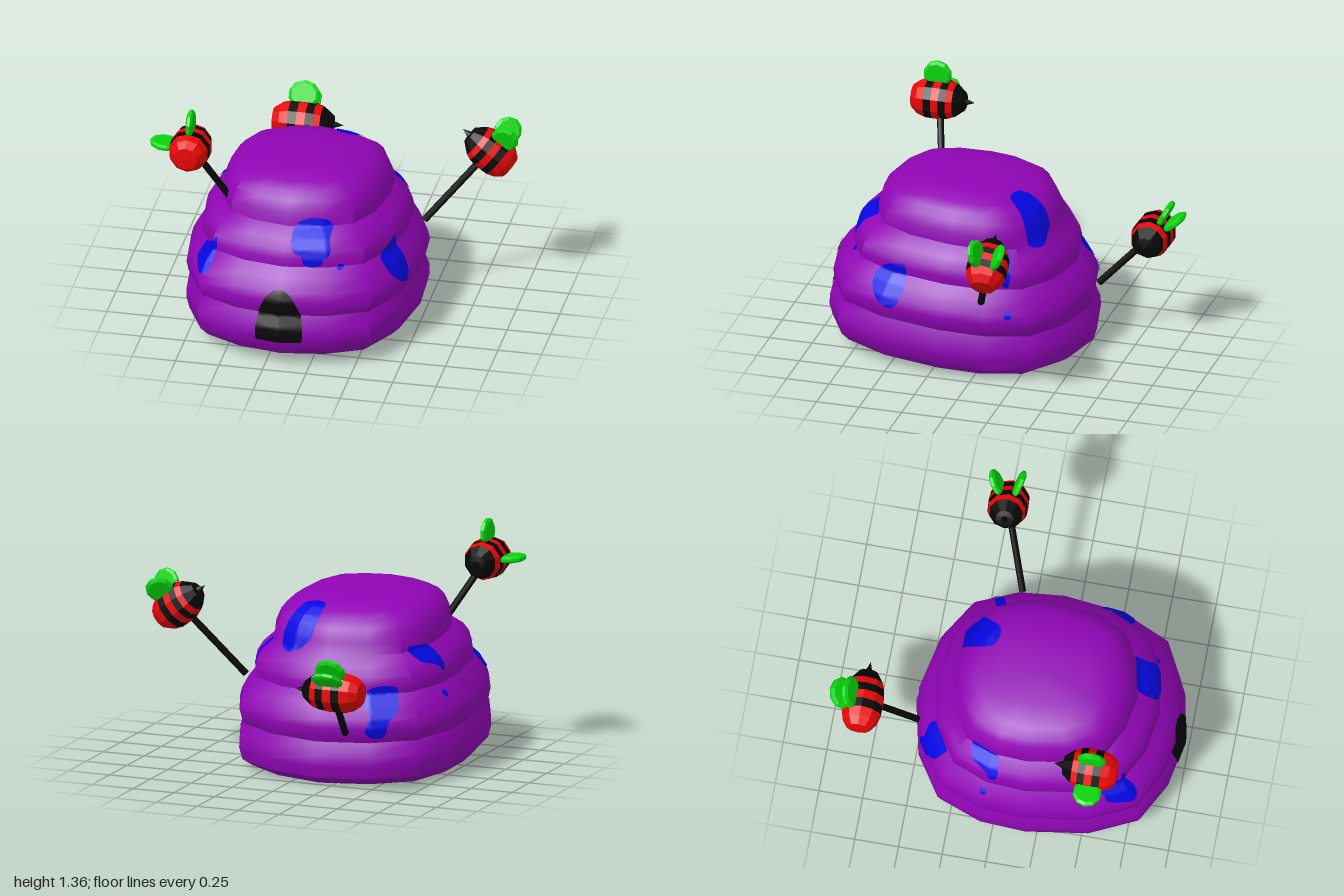
import * as THREE from 'three';
import { toCreasedNormals } from 'three/addons/utils/BufferGeometryUtils.js';

const mat = (name, color, extra = {}) => {
  const m = new THREE.MeshStandardMaterial({ color, ...extra });
  m.name = name;
  return m;
};
const V = (x, y, z) => new THREE.Vector3(x, y, z);

// Half outline of the hive in plan, back to front, on a unit scale
const HALF = [[0, -1], [0.47, -0.91], [0.82, -0.715], [0.97, -0.39], [1, -0.04],
  [0.93, 0.43], [0.745, 0.78], [0.41, 0.935], [0, 1]];

// Hive sections: height, half width, half depth, centre z (shallow hollow first, then the outer tiers)
const RINGS = [
  [0.21, 0.001, 0.001, 0.22], [0.18, 0.24, 0.28, 0.22], [0.115, 0.4, 0.46, 0.22], [0.035, 0.46, 0.53, 0.22],
  [0.042, 0.6, 0.69, 0.235], [0.09, 0.65, 0.75, 0.22], [0.16, 0.667, 0.77, 0.22], [0.22, 0.665, 0.765, 0.22],
  [0.295, 0.64, 0.73, 0.22], [0.325, 0.656, 0.742, 0.218], [0.38, 0.669, 0.75, 0.215], [0.43, 0.657, 0.735, 0.21],
  [0.5, 0.62, 0.692, 0.208], [0.555, 0.578, 0.64, 0.205], [0.6, 0.583, 0.64, 0.202], [0.65, 0.572, 0.625, 0.2],
  [0.7, 0.54, 0.59, 0.197], [0.755, 0.473, 0.53, 0.185], [0.82, 0.469, 0.515, 0.185], [0.89, 0.442, 0.482, 0.185],
  [0.93, 0.41, 0.442, 0.185], [0.967, 0.355, 0.38, 0.185], [0.995, 0.22, 0.25, 0.185], [1.012, 0.001, 0.001, 0.185],
];

function hiveGeometry() {
  const plan = [...HALF, ...HALF.slice(1, -1).reverse().map(([x, z]) => [-x, z])];
  const n = plan.length, pos = [], index = [];
  RINGS.forEach(([y, rx, rz, zc], j) => plan.forEach(([px, pz], i) => {
    const z = zc + pz * rz;
    pos.push(-0.162 + px * rx, y + 0.055 * (z - 0.22), z); // the hive leans back a little
    if (j === RINGS.length - 1) return;
    const a = j * n + i, b = j * n + (i + 1) % n;
    index.push(a, a + n, b, b, a + n, b + n);
  }));
  const g = new THREE.BufferGeometry();
  g.setAttribute('position', new THREE.Float32BufferAttribute(pos, 3));
  g.setIndex(index);
  return toCreasedNormals(g, THREE.MathUtils.degToRad(36));
}

// Thin patch laid on the hive: the outline is projected along dir
function patch(hive, name, material, dir, right, up, outline) {
  const SIDES = 48, STEPS = 12;
  const pts = THREE.ShapeUtils.area(outline.map(([x, y]) => ({ x, y }))) < 0 ? [...outline].reverse() : outline;
  const edge = new THREE.CatmullRomCurve3(pts.map(([x, y]) => V(x, y, 0)), true, 'catmullrom', 0.4).getSpacedPoints(SIDES);
  const mid = V(0, 0, 0);
  for (let i = 0; i < SIDES; i++) mid.addScaledVector(edge[i], 1 / SIDES);
  const ray = new THREE.Raycaster(), pos = [], index = [];
  let last = V(0, 0, 0);
  for (let j = 0; j <= STEPS; j++) for (let i = 0; i < SIDES; i++) {
    const p = mid.clone().lerp(edge[i], Math.max(j / STEPS, 0.01));
    const origin = dir.clone().multiplyScalar(4).addScaledVector(right, p.x).addScaledVector(up, p.y);
    ray.set(origin, dir.clone().negate());
    const hit = ray.intersectObject(hive)[0];
    if (hit) last = hit.point.clone().addScaledVector(hit.face.normal, 0.005);
    pos.push(last.x, last.y, last.z);
    if (j === STEPS) continue;
    const a = j * SIDES + i, b = j * SIDES + (i + 1) % SIDES;
    index.push(a, a + SIDES, b, b, a + SIDES, b + SIDES);
  }
  const g = new THREE.BufferGeometry();
  g.setAttribute('position', new THREE.Float32BufferAttribute(pos, 3));
  g.setIndex(index);
  g.computeVertexNormals();
  const m = new THREE.Mesh(g, material);
  m.name = name;
  return m;
}

const dot = (x, y, r) => [0, 1, 2, 3, 4, 5].map((i) => [x + r * Math.cos(i * Math.PI / 3), y + r * Math.sin(i * Math.PI / 3)]);

// Blue spots: projection azimuth in degrees (or 'top') and outline in that plane
const SPOTS = [
  [0, [[-0.12, 0.79], [-0.08, 0.815], [-0.03, 0.83], [0.05, 0.82], [0.085, 0.78], [0.08, 0.73], [0.095, 0.68], [0.08, 0.645],
    [0.06, 0.64], [0.05, 0.605], [0, 0.59], [-0.05, 0.605], [-0.065, 0.65], [-0.11, 0.67], [-0.13, 0.73]]],
  [0, dot(0.15, 0.585, 0.018)],
  [0, [[-0.57, 0.66], [-0.575, 0.56], [-0.61, 0.48], [-0.66, 0.46], [-0.695, 0.49], [-0.66, 0.56], [-0.62, 0.6]]],
  [90, [[-0.42, 0.63], [-0.52, 0.61], [-0.59, 0.55], [-0.6, 0.48], [-0.56, 0.42], [-0.5, 0.39], [-0.45, 0.4], [-0.41, 0.48], [-0.4, 0.56]]],
  [90, [[0.1, 0.76], [0.17, 0.71], [0.19, 0.62], [0.18, 0.55], [0.15, 0.56], [0.14, 0.65]]],
  [90, dot(0.2, 0.405, 0.022)],
  ['top', [[-0.05, 0.3], [0, 0.305], [0.09, 0.305], [0.155, 0.24], [0.11, 0.18], [0.06, 0.11], [0, 0.1], [-0.06, 0.13], [-0.07, 0.22]]],
  [-90, [[-0.15, 0.755], [-0.08, 0.76], [0, 0.75], [0.015, 0.7], [0.01, 0.63], [-0.02, 0.61], [-0.05, 0.645], [-0.1, 0.665], [-0.14, 0.68]]],
  [-90, dot(-0.06, 0.49, 0.02)],
  [215.6, [[0.285, 0.56], [0.145, 0.56], [0.085, 0.48], [0.12, 0.42], [0.085, 0.33], [0.125, 0.29], [0.195, 0.3], [0.22, 0.38], [0.275, 0.43]]],
];

// Bee body profile along its axis: height, radius
const BANDS = [
  ['red', [[-0.16, 0], [-0.155, 0.068], [-0.115, 0.1], [-0.07, 0.115]]],
  ['black', [[-0.07, 0.115], [-0.025, 0.117]]],
  ['red', [[-0.025, 0.117], [0.02, 0.117]]],
  ['black', [[0.02, 0.117], [0.06, 0.111]]],
  ['red', [[0.06, 0.111], [0.095, 0.097]]],
  ['black', [[0.095, 0.097], [0.15, 0.052], [0.158, 0]]],
];
// Wing profile: a bevelled disc
const WING = [[0, -1], [0.8, -1], [1, -0.45], [1, 0.45], [0.8, 1], [0, 1]];

// Bees: centre, tail direction, up direction, wing angles, foot of the stick, length scale
const BEES = [
  ['leftBee', V(-0.755, 1.135, 0.55), V(0, 0, -1), V(0, 1, 0), [0, -84], V(-0.545, 0.8, 0.475), 1],
  ['backBee', V(-0.393, 0.63, -0.81), V(1, 0, 0), V(0, 1, 0), [-28, -53], V(-0.34, 0.32, -0.51), 1.12],
  ['rightBee', V(0.805, 0.893, -0.2), V(-0.79, 0.613, 0).normalize(), V(0.613, 0.79, 0).normalize(), [-17, 32], V(0.46, 0.49, -0.055), 0.96],
];

export function createModel() {
  const purple = mat('hive purple', 0x9005b5);
  const blue = mat('spot blue', 0x0606e2);
  const black = mat('plain black', 0x060606);
  const red = mat('body red', 0xe80606, { flatShading: true });
  const green = mat('wing green', 0x08d60c, { flatShading: true });

  const model = new THREE.Group();
  model.name = 'beehive';
  const add = (parent, name, geometry, material) => {
    const m = new THREE.Mesh(geometry, material);
    m.name = name;
    parent.add(m);
    return m;
  };
  const lathe = (profile, sides) => new THREE.LatheGeometry(profile.map(([a, b]) => new THREE.Vector2(a, b)), sides);

  // Hive with its doorway and spots
  const hive = add(model, 'hive', hiveGeometry(), purple);
  const X = V(1, 0, 0), Y = V(0, 1, 0), Z = V(0, 0, 1);
  model.add(patch(hive, 'doorway', black, Z, X, Y, [
    [-0.29, 0.18], [-0.165, 0.18], [-0.04, 0.18], [-0.032, 0.19], [-0.03, 0.26], [-0.05, 0.36], [-0.09, 0.44],
    [-0.14, 0.48], [-0.19, 0.48], [-0.24, 0.44], [-0.28, 0.36], [-0.297, 0.26], [-0.297, 0.19]]));
  SPOTS.forEach(([view, outline], i) => {
    const a = THREE.MathUtils.degToRad(view);
    const axes = view === 'top' ? [Y, X, V(0, 0, -1)]
      : [V(Math.sin(a), 0, Math.cos(a)), V(Math.cos(a), 0, -Math.sin(a)), Y];
    model.add(patch(hive, `spot${i + 1}`, blue, ...axes, outline));
  });

  // Bees on sticks
  for (const [name, centre, tail, up, wings, foot, length] of BEES) {
    const bee = new THREE.Group();
    bee.name = name;
    const side = tail.clone().cross(up);
    bee.quaternion.setFromRotationMatrix(new THREE.Matrix4().makeBasis(side, tail, up));
    bee.position.copy(centre);
    bee.scale.y = length;
    BANDS.forEach(([colour, profile], i) => {
      const g = lathe(profile.map(([y, r]) => [r, y]), 10);
      add(bee, `band${i + 1}`, toCreasedNormals(g, 0.1), colour === 'red' ? red : black);
    });
    add(bee, 'stinger', new THREE.ConeGeometry(0.025, 0.06, 6), black).position.y = 0.175;
    wings.forEach((deg, i) => {
      const a = THREE.MathUtils.degToRad(deg);
      const wing = add(bee, `wing${i + 1}`, lathe(WING, 10).rotateZ(Math.PI / 2), green);
      wing.scale.set(0.018, 0.081, 0.083);
      wing.rotation.y = a;
      wing.position.set(Math.sin(a) * 0.15, -0.012, Math.cos(a) * 0.15);
    });
    model.add(bee);

    const span = centre.clone().sub(foot);
    const stick = add(model, `${name}Stick`, new THREE.CylinderGeometry(0.02, 0.02, span.length(), 8), black);
    stick.position.copy(foot).addScaledVector(span, 0.5);
    stick.quaternion.setFromUnitVectors(Y, span.normalize());
  }
  return model;
}
